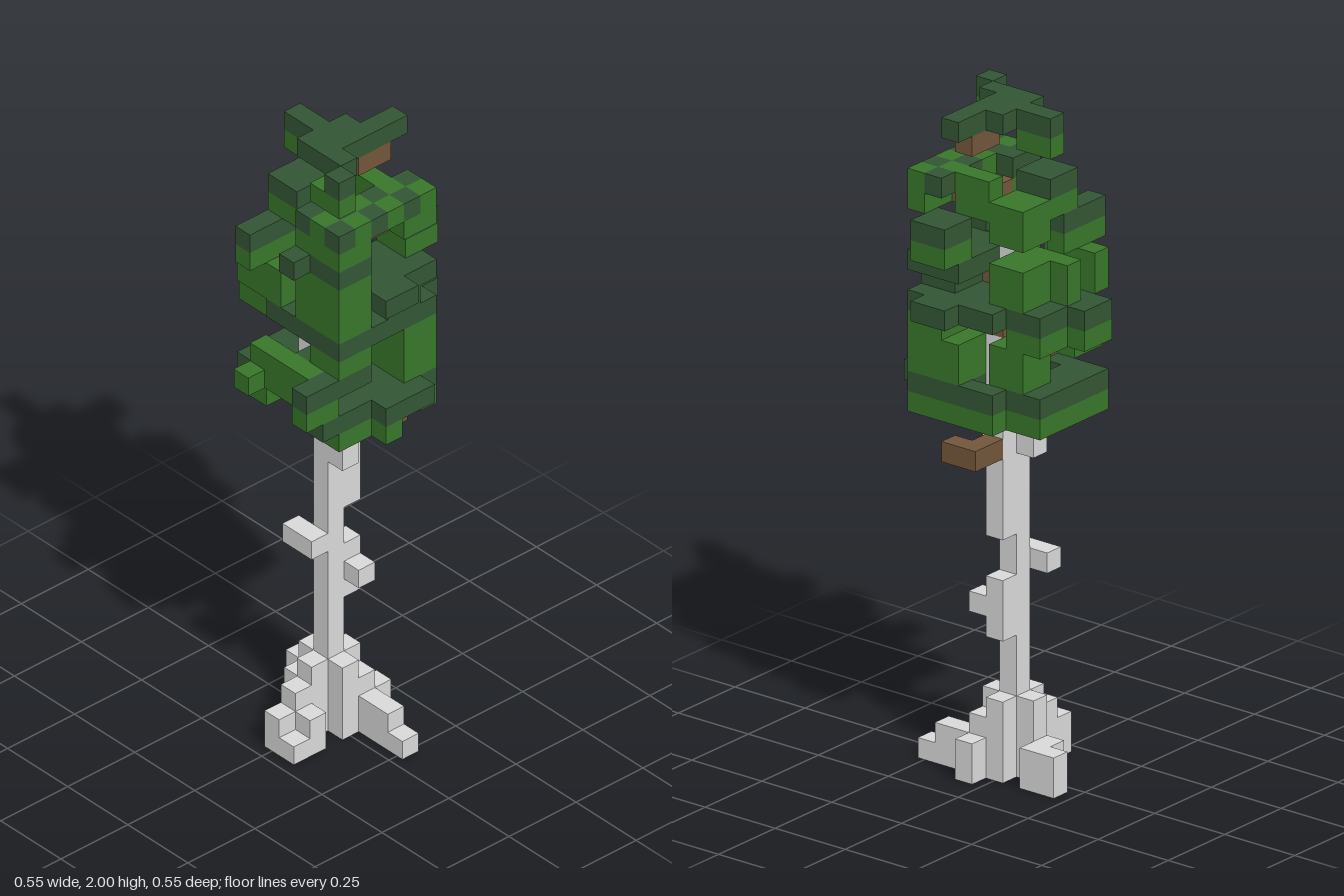
import * as THREE from 'three';
import { mergeGeometries } from 'three/addons/utils/BufferGeometryUtils.js';

const S = 2 / 33; // edge of one block

// Root columns: x, z, height in blocks
const roots = [
  [-1, 0, 4], [-2, 0, 3], [-3, 0, 2], [-2, 1, 2], [-3, 1, 1], // to the right
  [0, 1, 4], [1, 1, 3], [1, 2, 2], [1, 3, 2], [1, 4, 1], [2, 1, 2], // to the front
  [1, 0, 4], [0, -1, 4], [0, -2, 2], [1, -2, 2], [1, -3, 2], // to the back
];

// Bulges on the trunk: x, z, lowest layer, height
const bulges = [
  [1, 0, 7, 3], [1, 1, 8, 1], [-1, 0, 10, 1], [-1, -1, 10, 1],
  [1, 0, 12, 10], [0, 1, 15, 7], [0, -1, 16, 5], [-1, 0, 17, 4],
];

// Branches: x, z, layer, length along x
const branches = [
  [2, 0, 16, 2], [3, 1, 16, 1], [2, 0, 18, 1], [-2, 0, 20, 1], [0, 1, 22, 1], [1, 0, 22, 1],
  [0, 1, 24, 1], [0, 2, 28, 2], [0, 1, 28, 2], [1, 1, 31, 2],
];

// Dark leaf pads with a light skirt: layer, x from and to, z from and to
const pads = [
  [19, -2, -1, 2, 3], [19, -2, 2, -3, -2], [19, 3, 3, -1, 3],
  [21, -4, -3, 3, 3],
  [23, -1, 0, -4, -3], [23, 1, 2, -3, -2], [23, -2, 3, 2, 3],
  [27, -2, -1, 1, 3], [27, 3, 4, 1, 2], [27, -3, -1, -2, -2],
  [29, -2, 1, 2, 3], [29, -2, -1, 1, 1], [29, 2, 3, 3, 3], [29, -1, 0, -2, -1],
];

// Dark leaf sheets without a skirt
const sheets = [
  [19, -3, -3, 2, 3], [19, 0, 2, 1, 4], [19, -2, -2, -1, 1],
  [21, -2, -1, 1, 3],
  [23, -2, 3, -1, 1], [23, 4, 4, 1, 2],
  [24, 1, 2, 2, 3], [25, 0, 3, 1, 3], [25, 0, 1, 4, 4],
  [27, -3, -3, 1, 1], [27, 1, 1, 1, 1], [29, 2, 3, 2, 2],
  [32, 0, 0, -2, 1], [32, -1, 1, 0, 0], [32, -1, 3, 1, 1], [32, -1, -1, 2, 2], [32, -2, -2, 3, 3],
];

// Light leaf clumps: lowest layer, x from and to, z from and to, height
const clumps = [
  [18, 0, 0, 2, 4, 1], [18, 3, 3, 0, 0, 1],
  [20, 2, 3, 1, 3, 2], [20, 1, 2, -2, -1, 2], [20, -3, -3, -1, 2, 2], [20, -4, -4, -1, -1, 1],
  [24, -2, -1, 1, 3, 2], [24, -2, -2, -3, -1, 2], [24, 0, 0, -3, -1, 2], [24, 1, 2, -2, -1, 2],
  [27, 1, 2, -2, -1, 2], [28, 2, 2, 0, 1, 2],
  [31, -2, -2, 2, 3, 1], [31, 0, 0, -2, -1, 1],
];

// The six sides of a block: outward direction and the turn of a plane facing it
const Q = Math.PI / 2;
const sides = [
  [1, 0, 0, 0, Q], [-1, 0, 0, 0, -Q], [0, 1, 0, -Q, 0],
  [0, -1, 0, Q, 0], [0, 0, 1, 0, 0], [0, 0, -1, 0, 2 * Q],
];

export function createModel() {
  const tree = new THREE.Group();
  tree.name = 'tree';
  const cells = new Map();
  const key = (x, y, z) => `${x},${y},${z}`;

  // Fills a box of blocks; the first part to claim a cell keeps it
  function fill(part, x0, x1, y0, y1, z0, z1, keep = () => true) {
    for (let x = x0; x <= x1; x++)
      for (let y = y0; y <= y1; y++)
        for (let z = z0; z <= z1; z++)
          if (keep(x, z) && !cells.has(key(x, y, z))) cells.set(key(x, y, z), { part, x, y, z });
  }

  // Trunk with stepped roots, bulges and branches
  fill('trunk', 0, 0, 0, 27, 0, 0);
  for (const [x, z, h] of roots) fill('trunk', x, x, 0, h - 1, z, z);
  for (const [x, z, y, h] of bulges) fill('trunk', x, x, y, y + h - 1, z, z);
  for (const [x, z, y, n] of branches) fill('branches', x, x + n - 1, y, y, z, z);

  // Leaves; the front of the upper layer is a light and dark checker,
  // and the skirts leave the trunk open to the front and left
  const checker = (x, z) => z > 1 && (x + z) % 2 === 0;
  const offAxis = (x, z) => !(z > 0 && (x === 0 || x === 1)) && !(x > 0 && z === 0);
  fill('lightLeaves', -2, 3, 29, 29, 2, 3, checker);
  for (const [y, x0, x1, z0, z1, h] of clumps) fill('lightLeaves', x0, x1, y, y + h - 1, z0, z1);
  for (const [y, x0, x1, z0, z1] of [...sheets, ...pads]) fill('darkLeaves', x0, x1, y, y, z0, z1);
  for (const [y, x0, x1, z0, z1] of pads) fill('lightLeaves', x0, x1, y - 1, y - 1, z0, z1, offAxis);

  // Only the exposed sides of the blocks become faces
  function addPart(part, colourName, color) {
    const faces = [];
    for (const { part: owner, x, y, z } of cells.values()) {
      if (owner !== part) continue;
      for (const [dx, dy, dz, rx, ry] of sides) {
        if (cells.has(key(x + dx, y + dy, z + dz))) continue;
        faces.push(new THREE.PlaneGeometry(S, S).rotateX(rx).rotateY(ry)
          .translate((x + dx / 2) * S, (y + 0.5 + dy / 2) * S, (z + dz / 2) * S));
      }
    }
    const material = new THREE.MeshStandardMaterial({ color });
    material.name = colourName;
    const mesh = new THREE.Mesh(mergeGeometries(faces), material);
    mesh.name = part;
    tree.add(mesh);
  }
  addPart('trunk', 'bark grey', 0xd9d9d9);
  addPart('branches', 'branch brown', 0x72563a);
  addPart('darkLeaves', 'dark green', 0x335634);
  addPart('lightLeaves', 'light green', 0x38762a);
  return tree;
}
